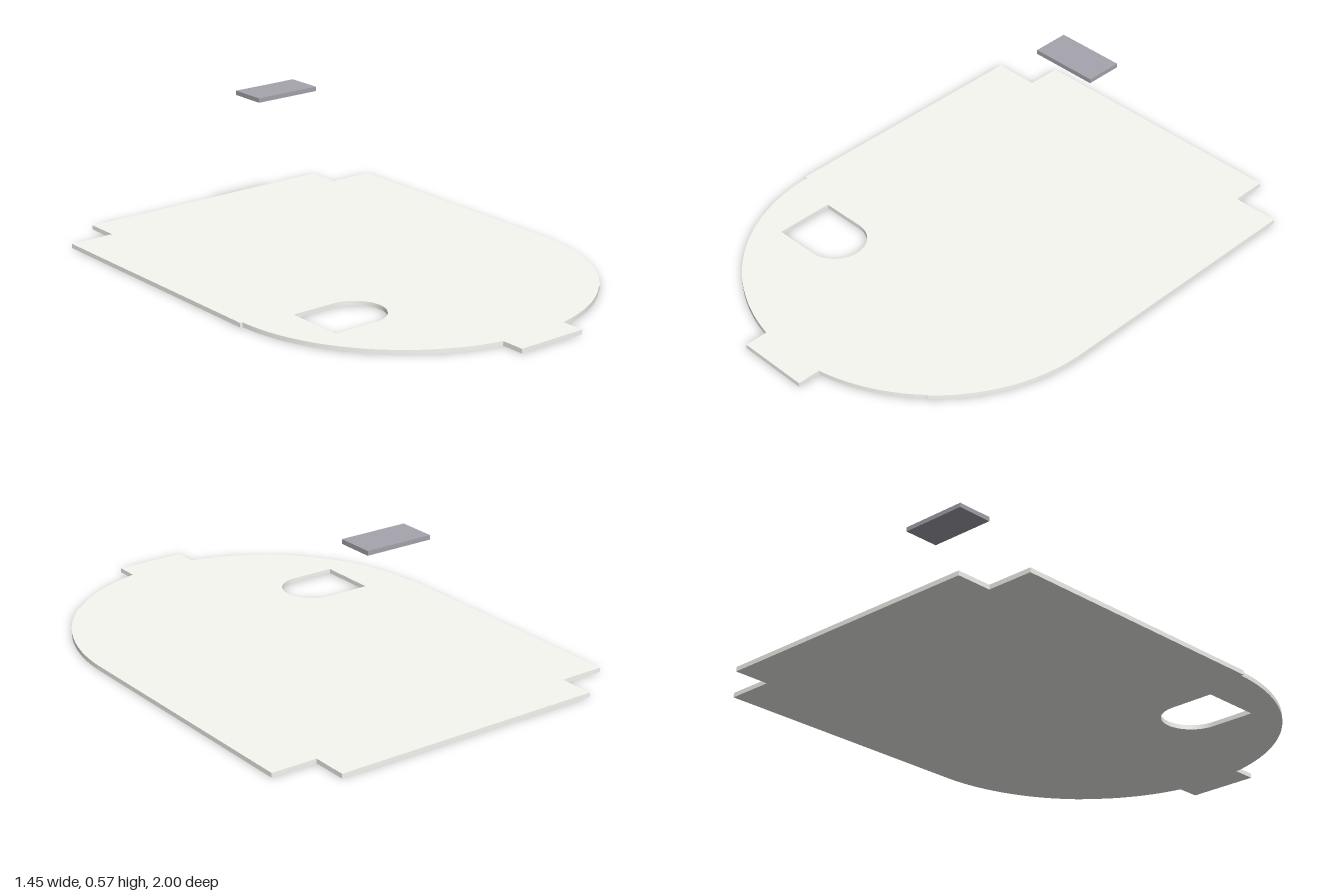
import * as THREE from 'three';

export function createModel() {
  const group = new THREE.Group();
  const thickness = 0.017;

  // Plate outline, drawn as (x, z): square back with a wide tab, round front
  const outline = new THREE.Shape();
  outline.moveTo(-0.5425, -1);
  outline.lineTo(0.5425, -1);
  outline.lineTo(0.5425, -0.862);
  outline.lineTo(0.7225, -0.862);
  outline.lineTo(0.7225, 0.2);
  // rounded front, left half, with a small nick in the rim
  outline.absarc(-0.0075, 0.2, 0.73, 0.02, 0.795, false);
  outline.lineTo(0.499, 0.727);
  outline.absarc(0, 0.203, 0.72, 0.825, Math.acos(0.14 / 0.72), false);
  // front tab
  outline.lineTo(0.14, 1);
  outline.lineTo(-0.14, 1);
  // rounded front, right half, ending at a small step
  outline.absarc(0.008, 0.203, 0.721, Math.acos(-0.148 / 0.721), Math.PI - 0.015, false);
  outline.lineTo(-0.7225, 0.213);
  outline.lineTo(-0.7225, -0.862);
  outline.lineTo(-0.5425, -0.862);
  outline.closePath();

  // D-shaped opening
  const opening = new THREE.Path();
  opening.moveTo(-0.532, 0.267);
  opening.lineTo(-0.357, 0.267);
  opening.absarc(-0.357, 0.3835, 0.1165, -Math.PI / 2, Math.PI / 2, false);
  opening.lineTo(-0.532, 0.5);
  opening.closePath();
  outline.holes.push(opening);

  const plateGeometry = new THREE.ExtrudeGeometry(outline, {
    depth: thickness, bevelEnabled: false, curveSegments: 24,
  });
  plateGeometry.rotateX(Math.PI / 2).translate(0, thickness, 0);
  const plate = new THREE.Mesh(plateGeometry, new THREE.MeshStandardMaterial({ color: 0xf8f8f3 }));
  plate.name = 'basePlate';
  group.add(plate);

  // Small slab floating above the back of the plate
  const slab = new THREE.Mesh(
    new THREE.BoxGeometry(0.27, thickness, 0.145),
    new THREE.MeshStandardMaterial({ color: 0xa6a5ad }),
  );
  slab.position.set(0, 0.563, -0.526);
  slab.name = 'floatingSlab';
  group.add(slab);

  return group;
}
